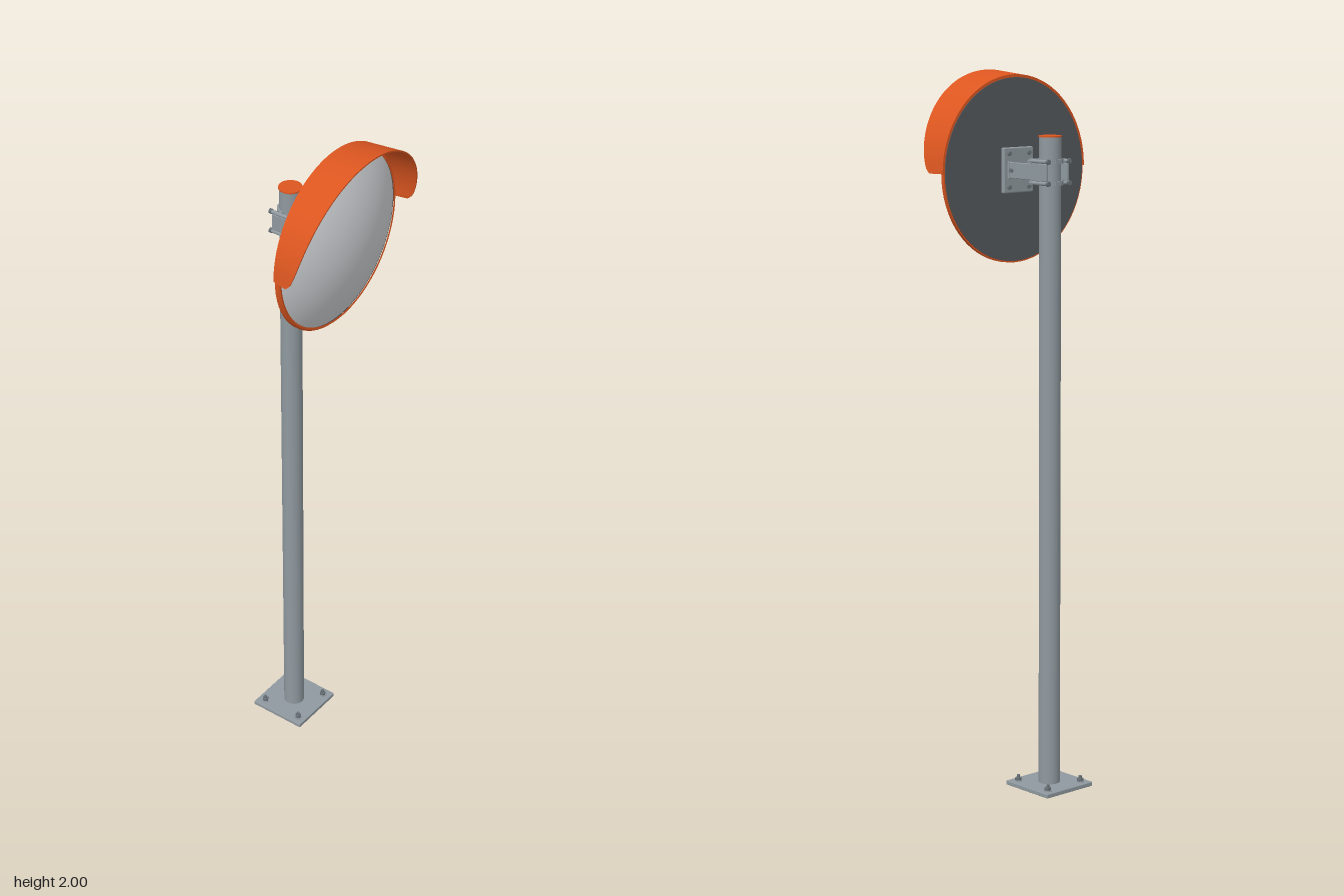
import * as THREE from 'three';
import { toCreasedNormals } from 'three/addons/utils/BufferGeometryUtils.js';
import { RoundedBoxGeometry } from 'three/addons/geometries/RoundedBoxGeometry.js';

const paint = (name, color) => {
  const m = new THREE.MeshStandardMaterial({ color });
  m.name = name;
  return m;
};

export function createModel() {
  const steel = paint('galvanised steel', 0x8f999f);
  const bolt = paint('bolt steel', 0x6b747a);
  const orange = paint('orange', 0xdc5620);
  const dark = paint('dark backing', 0x55595c);
  const silver = paint('mirror silver', 0xcdd0d3);

  const model = new THREE.Group();
  model.name = 'trafficMirror';
  const CY = 1.73, PZ = -0.086; // mirror height, pole depth

  const add = (name, geo, mat, x, y, z, parent = model) => {
    const m = new THREE.Mesh(geo, mat);
    m.name = name;
    m.position.set(x, y, z);
    parent.add(m);
    return m;
  };
  const box = (w, h, d, r = 0.002) => new RoundedBoxGeometry(w, h, d, 2, r);
  const rodY = (r, h, n = 16) => new THREE.CylinderGeometry(r, r, h, n);
  const rodZ = (r, l, n = 16) => rodY(r, l, n).rotateX(Math.PI / 2);
  const rodX = (r, l, n = 16) => rodY(r, l, n).rotateZ(Math.PI / 2);
  const latheZ = (pts) => new THREE.LatheGeometry(
    pts.map(([r, z]) => new THREE.Vector2(r, z)), 72).rotateX(Math.PI / 2);

  // Base plate with four anchor bolts
  add('basePlate', box(0.173, 0.012, 0.173), steel, 0, 0.006, PZ);
  for (const sx of [-1, 1]) for (const sz of [-1, 1]) {
    const anchor = new THREE.Group();
    anchor.name = 'anchorBolt';
    anchor.position.set(sx * 0.062, 0.012, PZ + sz * 0.062);
    add('washer', rodY(0.011, 0.002, 20), steel, 0, 0.001, 0, anchor);
    add('nut', rodY(0.009, 0.008, 6), bolt, 0, 0.006, 0, anchor);
    add('stud', rodY(0.0045, 0.018, 12), bolt, 0, 0.009, 0, anchor);
    model.add(anchor);
  }

  // Pole and its cap
  add('pole', rodY(0.03, 1.814, 40), steel, 0, 0.919, PZ);
  add('poleCap', rodY(0.032, 0.004, 40), orange, 0, 1.828, PZ);

  // Clamp: two bands round the pole, each pulled tight by a pair of bolts
  const band = new THREE.Shape();
  band.absarc(0, 0, 0.036, 0, Math.PI, false);
  band.absarc(0, 0, 0.029, Math.PI, 0, true);
  for (const y of [1.702, 1.761]) {
    const g = new THREE.ExtrudeGeometry(band, { depth: 0.012, bevelEnabled: false, curveSegments: 20 });
    g.rotateX(-Math.PI / 2);
    add('clampBand', toCreasedNormals(g, 0.6), steel, 0, y - 0.006, PZ);
    add('clampFront', box(0.086, 0.012, 0.012), steel, 0, y, -0.054);
    for (const s of [-1, 1]) {
      add('clampRod', rodZ(0.0055, 0.075), steel, s * 0.0385, y, -0.0855);
      add('clampNut', rodZ(0.0075, 0.007, 6), bolt, s * 0.0385, y, -0.121);
    }
  }
  add('clampSaddle', box(0.084, 0.05, 0.01), steel, 0, 1.7315, -0.054);

  // Arms from the clamp to the mounting plate, with pivot bolts
  for (const s of [-1, 1]) {
    add('clampCheek', box(0.007, 0.048, 0.065), steel, s * 0.0385, 1.7315, -0.084);
    add('arm', box(0.008, 0.044, 0.098), steel, s * 0.0365, 1.7315, -0.005);
    add('pivotHead', rodX(0.0065, 0.019, 6), bolt, s * 0.0365, 1.7315, 0.025);
    add('armFoot', box(0.012, 0.05, 0.006), steel, s * 0.0365, 1.7315, 0.038);
  }
  add('mountingPlate', box(0.108, 0.125, 0.014, 0.004), steel, 0, CY, 0.048);
  for (const sx of [-1, 1]) for (const sy of [-1, 1]) {
    add('plateBolt', rodZ(0.0065, 0.006, 6), bolt, sx * 0.036, CY + sy * 0.046, 0.039);
  }

  // Mirror head: backing, orange rim, domed face
  add('mirrorBack', rodZ(0.252, 0.01, 72), dark, 0, CY, 0.061);
  const rim = latheZ([[0.245, 0], [0.256, 0], [0.256, 0.01], [0.252, 0.014], [0.246, 0.013]]);
  add('mirrorRim', toCreasedNormals(rim, 0.6), orange, 0, CY, 0.058);
  const R = 0.248, H = 0.064, S = (R * R + H * H) / (2 * H);
  const dome = [];
  for (let i = 0; i <= 20; i++) {
    const a = Math.asin(R / S) * (1 - i / 20);
    dome.push([S * Math.sin(a), S * Math.cos(a) - S + H]);
  }
  add('mirrorFace', latheZ(dome), silver, 0, CY, 0.067);

  // Visor: flared half hood, deepest at the top
  const N = 72, T = 0.004, pos = [], idx = [];
  for (let i = 0; i <= N; i++) {
    const t = Math.PI * i / N, c = Math.cos(t), s = Math.max(0, Math.sin(t));
    const front = 0.102 + 0.068 * Math.pow(s, 0.55);
    for (const [r, z] of [[0.26, 0.057], [0.27, front], [0.27 - T, front], [0.26 - T, 0.057]]) {
      pos.push(r * c, r * s, z);
    }
  }
  for (let i = 0; i < N; i++) for (let k = 0; k < 4; k++) {
    const a = i * 4 + k, b = a + 4, c = i * 4 + (k + 1) % 4, d = c + 4;
    idx.push(a, b, c, b, d, c);
  }
  const e = N * 4;
  idx.push(0, 1, 2, 0, 2, 3, e, e + 2, e + 1, e, e + 3, e + 2);
  const hood = new THREE.BufferGeometry();
  hood.setAttribute('position', new THREE.Float32BufferAttribute(pos, 3));
  hood.setIndex(idx);
  add('visor', toCreasedNormals(hood, 0.6), orange, 0, CY, 0);

  return model;
}
